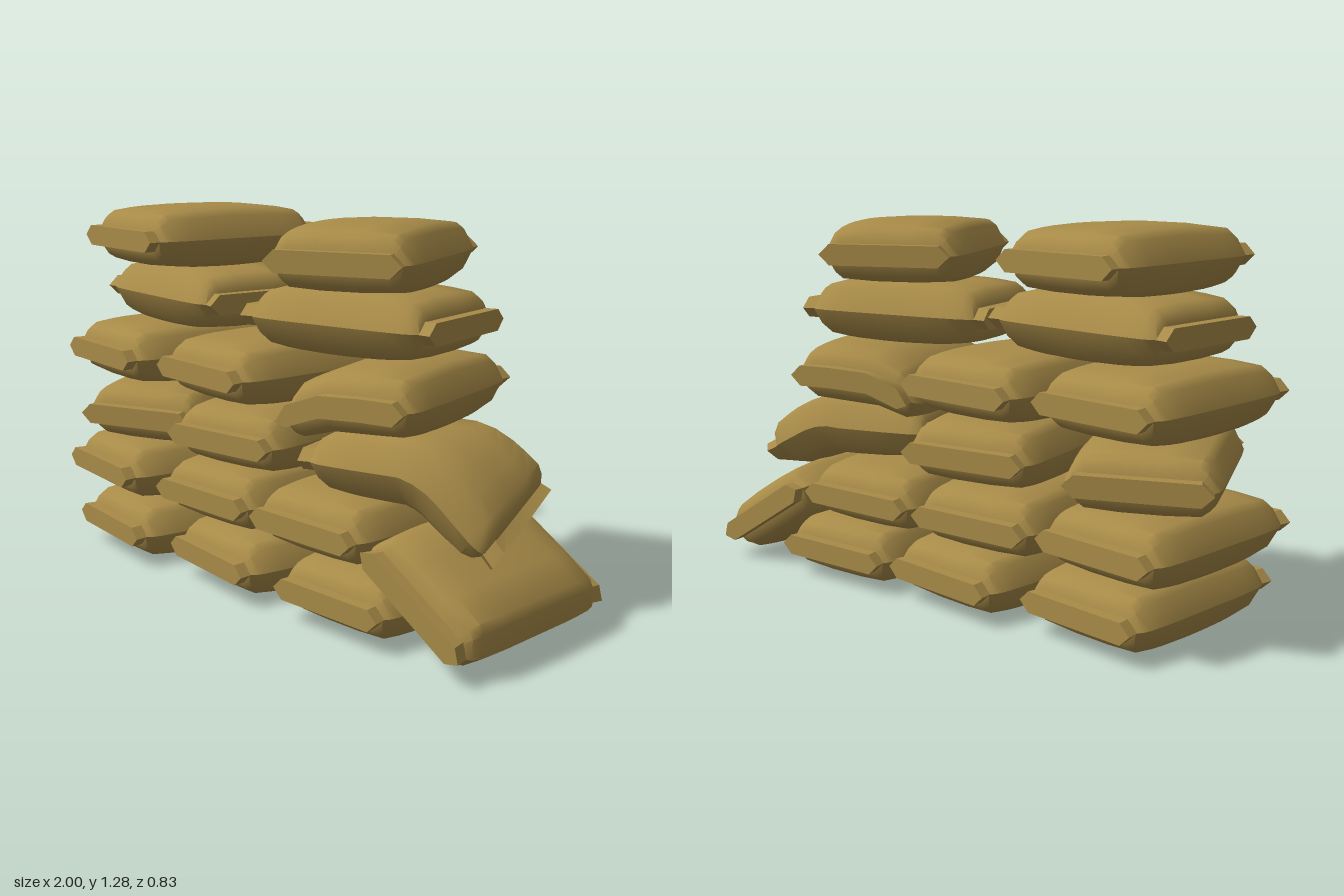
import * as THREE from 'three';
import { toCreasedNormals } from 'three/addons/utils/BufferGeometryUtils.js';

const burlap = new THREE.MeshStandardMaterial({ color: 0xa88b48 });
burlap.name = 'burlap';

// Upper half profiles from the +x ridge to the -x ridge
const bodyHalf = [[0.24, 0], [0.207, 0.075], [0.18, 0.098], [0.07, 0.105],
  [-0.07, 0.105], [-0.18, 0.098], [-0.207, 0.075], [-0.24, 0]];
const seamHalf = [[0.225, 0], [0.188, 0.035], [0.07, 0.035],
  [-0.07, 0.035], [-0.188, 0.035], [-0.225, 0]];

// Mirror a half profile into a closed ring
function closeProfile(half) {
  const lower = half.slice(1, -1).map(([x, y]) => [-x, -y]);
  return [...half, ...lower];
}

// Body stations along the bag: z, width scale, height scale
const halfStations = [[0.05, 1, 1.015], [0.1, 1, 1], [0.15, 1, 0.985], [0.2, 0.995, 0.95],
  [0.27, 0.98, 0.87], [0.3, 0.95, 0.7], [0.32, 0.9, 0.38]];
const bodyStations = [
  ...halfStations.map(([z, w, h]) => [-z, w, h]).reverse(),
  [0, 1, 1.02],
  ...halfStations,
];

// Closed loft through scaled rings, optionally deformed by a bend rule
function loft(half, stations, bend) {
  const ring = closeProfile(half);
  const n = ring.length;
  const points = [];
  const index = [];
  for (const [z, w, h] of stations) {
    for (const [x, y] of ring) points.push(new THREE.Vector3(x * w, y * h, z));
  }
  const first = points.length;
  points.push(new THREE.Vector3(0, 0, stations[0][0]));
  points.push(new THREE.Vector3(0, 0, stations[stations.length - 1][0]));
  const lastRing = (stations.length - 1) * n;
  for (let j = 0; j < n; j++) {
    const k = (j + 1) % n;
    for (let i = 0; i < lastRing; i += n) {
      index.push(i + j, i + k, i + n + k, i + j, i + n + k, i + n + j);
    }
    index.push(first, k, j, first + 1, lastRing + j, lastRing + k);
  }
  if (bend) points.forEach(bend);
  const geometry = new THREE.BufferGeometry().setFromPoints(points);
  geometry.setIndex(index);
  return toCreasedNormals(geometry, 0.7);
}

// One bag: padded body and a flat sewn seam at each end
function makeBag(name, bend) {
  const bag = new THREE.Group();
  bag.name = name;
  const add = (part, geometry) => {
    const mesh = new THREE.Mesh(geometry, burlap);
    mesh.name = part;
    bag.add(mesh);
  };
  add('bagBody', loft(bodyHalf, bodyStations, bend));
  add('frontSeam', loft(seamHalf, [[0.3, 0.96, 1], [0.36, 1, 1]], bend));
  add('backSeam', loft(seamHalf, [[-0.36, 1, 1], [-0.3, 0.96, 1]], bend));
  return bag;
}

// Far end folds down over an arc and twists slightly
function droopEnd(p) {
  const arc = 0.15, angle = 0.65, radius = arc / angle;
  if (p.z <= 0) return;
  const t = p.z;
  const a = Math.min(t / arc, 1) * angle;
  const rest = Math.max(t - arc, 0);
  const twist = 0.27 * p.x * t / 0.36;
  const y = p.y;
  p.z = radius * Math.sin(a) + rest * Math.cos(a) + y * Math.sin(a);
  p.y = -radius * (1 - Math.cos(a)) - rest * Math.sin(a) + y * Math.cos(a) + twist;
}

// One long side sags
function sagSide(p) {
  if (p.x < 0) p.y -= 1.4 * p.x * p.x;
}

// Bags: x, y, yaw in degrees, lean in degrees, bend rule
const bags = [
  // bottom course
  [-0.64, 0.115, -9], [-0.09, 0.115, -8], [0.435, 0.115, 0],
  [0.782, 0.203, 0, -32],
  // second course
  [-0.695, 0.325, -9], [-0.17, 0.325, 0], [0.32, 0.325, 0],
  // third course
  [-0.665, 0.54, 20], [-0.11, 0.54, 6],
  [0.56, 0.535, 105, 0, droopEnd],
  // fourth course
  [-0.675, 0.755, -8], [-0.145, 0.755, -5],
  [0.41, 0.745, 12, 0, sagSide],
  // fifth course, laid lengthwise
  [-0.51, 0.972, 82], [0.29, 0.96, 99],
  // top bags
  [-0.54, 1.178, -7], [0.31, 1.166, 21],
];

export function createModel() {
  const model = new THREE.Group();
  model.name = 'sandbagWall';
  bags.forEach(([x, y, yaw, lean = 0, bend], i) => {
    const bag = makeBag('sandbag' + (i + 1), bend);
    bag.position.set(x, y, 0);
    bag.rotation.set(0, THREE.MathUtils.degToRad(yaw), THREE.MathUtils.degToRad(lean));
    model.add(bag);
  });
  return model;
}
